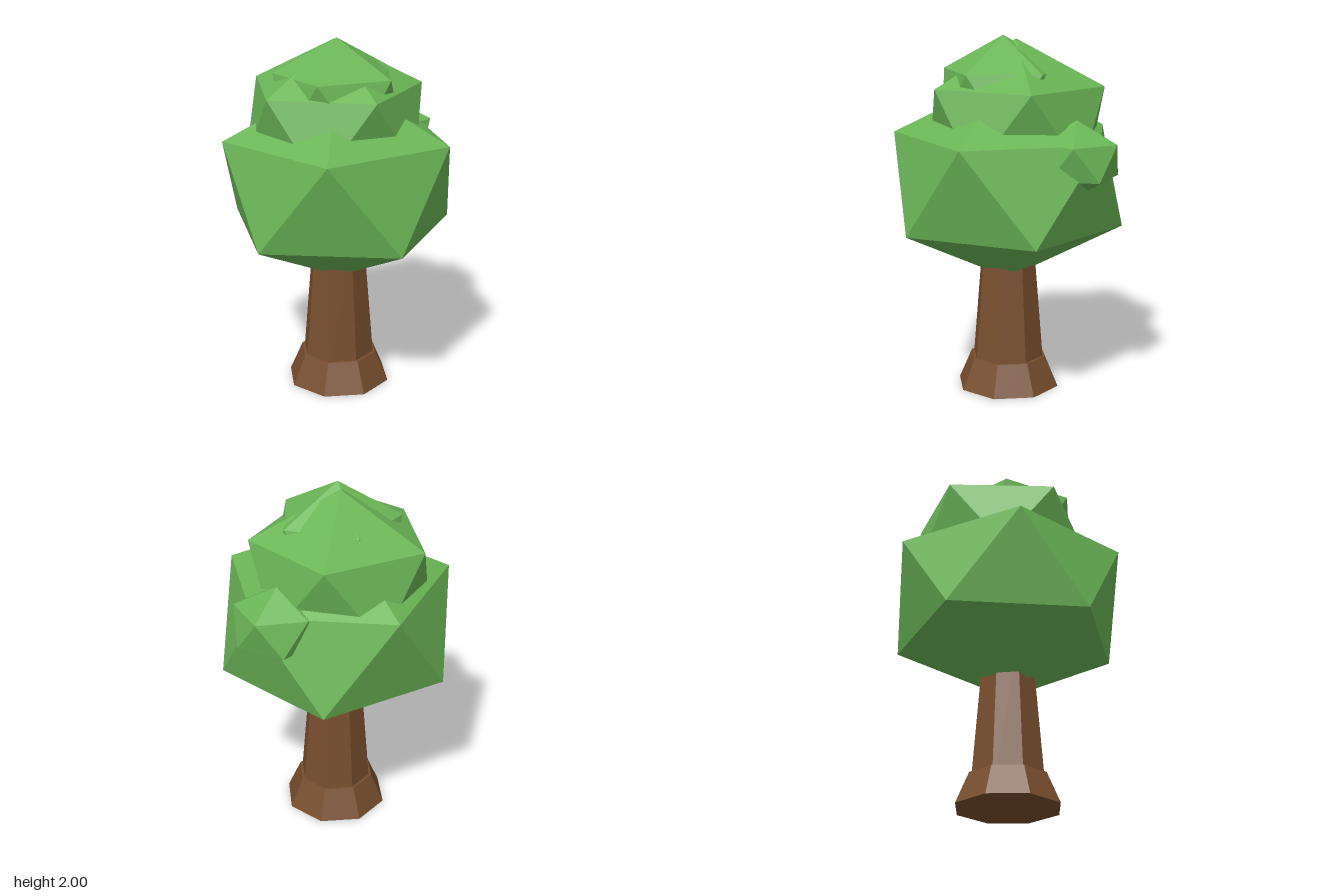
import * as THREE from 'three';

const leafGreen = new THREE.MeshStandardMaterial({ color: 0x6ab556, flatShading: true });
leafGreen.name = 'leafGreen';
const barkBrown = new THREE.MeshStandardMaterial({ color: 0x784e2e, flatShading: true });
barkBrown.name = 'barkBrown';

// Squashed icosahedron standing on a vertex; turn (degrees) places one upper ring corner, measured from +z to +x
function foliage(name, [x, y, z], ringRadius, halfHeight, turn) {
  const g = new THREE.IcosahedronGeometry(1, 0);
  g.rotateZ(Math.atan(2 / (1 + Math.sqrt(5))));
  g.rotateY(THREE.MathUtils.degToRad(turn + 90));
  const r = ringRadius * Math.sqrt(5) / 2;
  g.scale(r, halfHeight, r);
  g.computeVertexNormals();
  const mesh = new THREE.Mesh(g, leafGreen);
  mesh.name = name;
  mesh.position.set(x, y, z);
  return mesh;
}

// Eight-sided tapered trunk section
function trunkSection(name, rBottom, rTop, y0, y1) {
  const mesh = new THREE.Mesh(new THREE.CylinderGeometry(rTop, rBottom, y1 - y0, 8), barkBrown);
  mesh.name = name;
  mesh.position.set(-0.03, (y0 + y1) / 2, 0);
  return mesh;
}

export function createModel() {
  const tree = new THREE.Group();
  tree.name = 'tree';
  tree.add(
    // Trunk and flared foot
    trunkSection('trunkFlare', 0.295, 0.22, 0, 0.175),
    trunkSection('trunk', 0.218, 0.147, 0.02, 0.88),
    // Stacked leaf masses and one side clump
    foliage('lowerCrown', [-0.03, 1.2025, 0], 0.64, 0.576, 37.8),
    foliage('middleCrown', [-0.03, 1.52, -0.05], 0.49, 0.46, -2.3),
    foliage('topCrown', [-0.05, 1.657, 0.02], 0.345, 0.343, 26),
    foliage('sideClump', [0.41, 1.368, -0.17], 0.23, 0.208, 53.5),
  );
  return tree;
}
